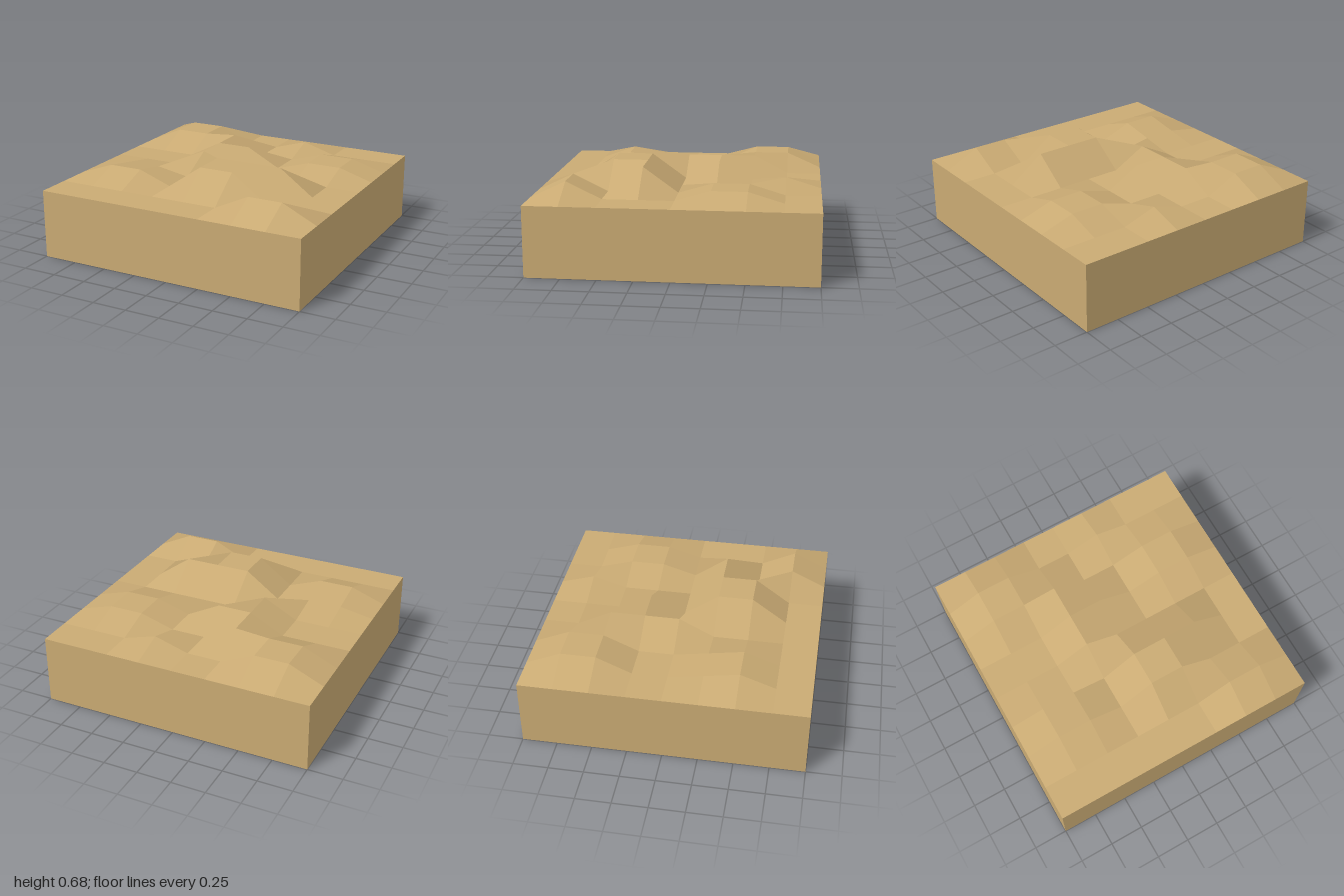
import * as THREE from 'three';

const GRID = 8;           // cells per side
const CELL = 2 / GRID;
const BASE = 0.5;         // height of the block below the relief

// Inner dune heights above the base: rows run from back (-z) to front (+z), columns from -x to +x
const DUNES = [
  [0.11, 0.11, 0, 0, 0.075, 0, 0],
  [0.11, 0.11, 0.13, 0, 0, 0.075, 0.075],
  [0, 0, 0.13, 0.13, 0, 0.075, 0.075],
  [0, 0, 0.13, 0, 0, 0, 0],
  [0.045, 0.045, 0, 0.18, 0.18, 0.18, 0],
  [0.09, 0.09, 0, 0.18, 0.18, 0, 0],
  [0, 0, 0, 0, 0, 0.12, 0.12],
];

// The rim of the tile stays level
const height = (i, j) => DUNES[j - 1]?.[i - 1] ?? 0;
const corner = (i, j) => [-1 + i * CELL, BASE + height(i, j), -1 + j * CELL];

// Relief of square cells, each shaded with one normal and folded along its higher diagonal
function reliefGeometry() {
  const positions = [], normals = [], indices = [];
  for (let j = 0; j < GRID; j++) {
    for (let i = 0; i < GRID; i++) {
      const a = corner(i, j), b = corner(i, j + 1);
      const c = corner(i + 1, j + 1), d = corner(i + 1, j);
      const slopeX = (c[1] + d[1] - a[1] - b[1]) / (2 * CELL);
      const slopeZ = (b[1] + c[1] - a[1] - d[1]) / (2 * CELL);
      const n = new THREE.Vector3(-slopeX, 1, -slopeZ).normalize();
      const k = positions.length / 3;
      for (const p of [a, b, c, d]) {
        positions.push(...p);
        normals.push(n.x, n.y, n.z);
      }
      const fold = a[1] + c[1] >= b[1] + d[1] ? [0, 1, 2, 0, 2, 3] : [0, 1, 3, 1, 2, 3];
      indices.push(...fold.map((v) => v + k));
    }
  }
  const geometry = new THREE.BufferGeometry();
  geometry.setAttribute('position', new THREE.Float32BufferAttribute(positions, 3));
  geometry.setAttribute('normal', new THREE.Float32BufferAttribute(normals, 3));
  geometry.setIndex(indices);
  return geometry;
}

// Block with its top left open, since the relief closes it
function blockGeometry() {
  const geometry = new THREE.BoxGeometry(2, BASE, 2).translate(0, BASE / 2, 0);
  const index = Array.from(geometry.index.array);
  index.splice(12, 6);
  geometry.setIndex(index);
  geometry.clearGroups();
  return geometry;
}

export function createModel() {
  const sand = new THREE.MeshStandardMaterial({ color: 0xc9aa73 });
  sand.name = 'sand';

  const model = new THREE.Group();
  model.name = 'sandTile';

  const block = new THREE.Mesh(blockGeometry(), sand);
  block.name = 'block';
  const dunes = new THREE.Mesh(reliefGeometry(), sand);
  dunes.name = 'dunes';

  model.add(block, dunes);
  return model;
}
